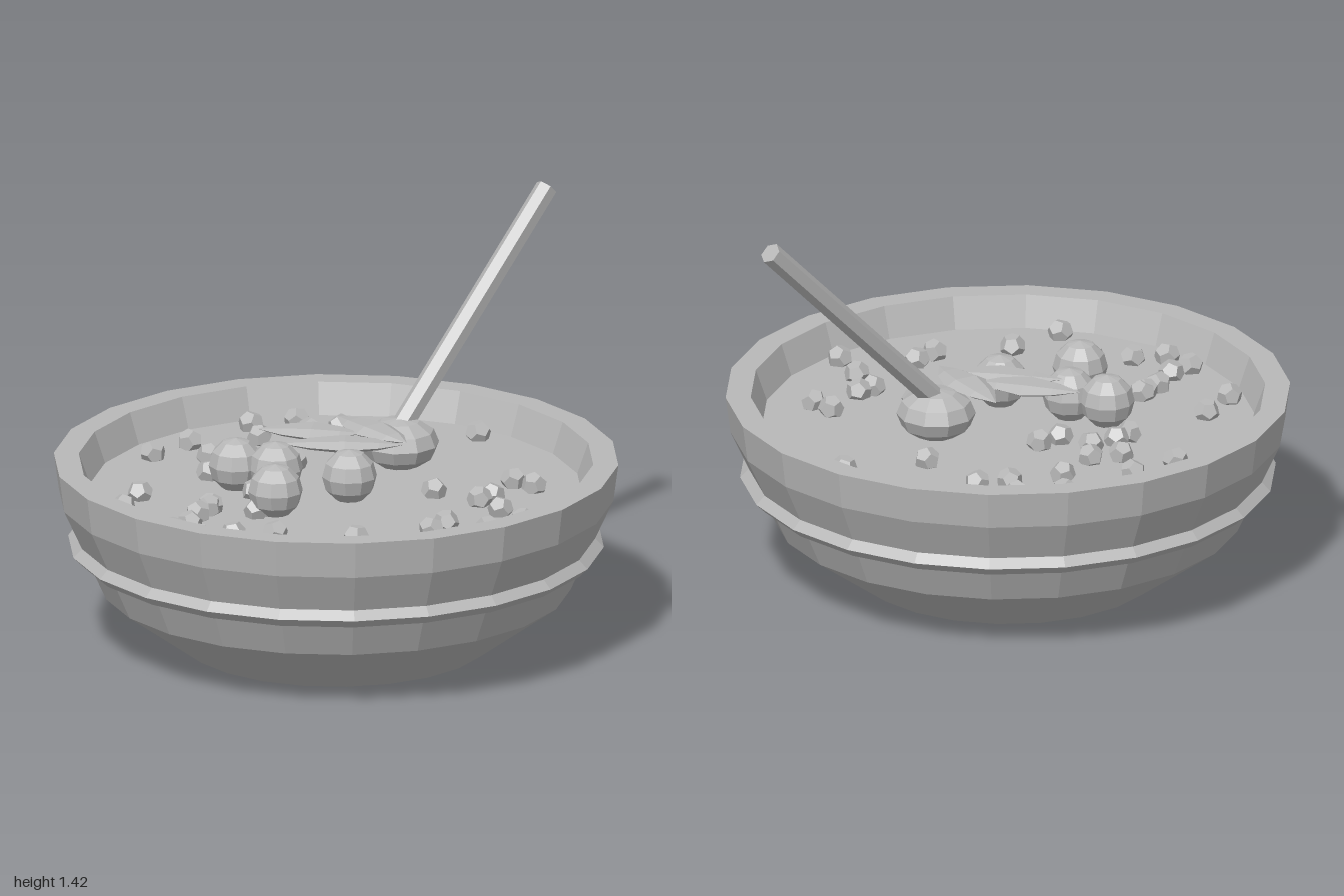
import * as THREE from 'three';

const SIDES = 22;
const BOWL_X = -0.04;

export function createModel() {
  const group = new THREE.Group();
  const clay = new THREE.MeshStandardMaterial({ color: 0xb8b8b8 });
  clay.name = 'plain grey';
  clay.flatShading = true;

  const add = (name, geometry, x = 0, y = 0, z = 0) => {
    const mesh = new THREE.Mesh(geometry, clay);
    mesh.name = name;
    mesh.position.set(x, y, z);
    group.add(mesh);
    return mesh;
  };
  const lathe = (pts, sides, start = 0) =>
    new THREE.LatheGeometry(pts.map(([r, y]) => new THREE.Vector2(r, y)), sides, start);

  // Bowl: base, flared wall, flat rim and inner wall
  add('bowl', lathe([
    [0, 0], [0.52, 0], [0.797, 0.2], [0.943, 0.52], [0.96, 0.647],
    [0.875, 0.647], [0.83, 0.52],
  ], SIDES, Math.PI / 2), BOWL_X);

  // Diamond-section band around the outside
  const band = new THREE.TorusGeometry(0.88, 0.031, 4, SIDES);
  band.rotateX(Math.PI / 2);
  add('band', band, BOWL_X, 0.355);

  // Soup surface
  const soup = new THREE.CircleGeometry(0.838, SIDES);
  soup.rotateX(-Math.PI / 2);
  add('soup', soup, BOWL_X, 0.54);

  // Small floating peas, each turned differently
  const peas = [
    [-.24, -.68], [-.06, -.68], [.23, -.68], [.37, -.60], [.14, -.55], [.32, -.49], [.42, -.44],
    [-.13, -.52], [-.03, -.48], [-.26, -.39], [-.20, -.40], [-.10, -.39], [-.59, -.39], [-.74, -.32],
    [-.06, -.27], [.03, -.27], [.43, -.17], [.70, -.06], [-.52, -.12], [-.54, -.11], [-.61, -.09],
    [-.80, -.02], [-.71, -.03], [-.79, .10], [-.69, .16], [-.58, .25], [-.63, .49], [-.42, .48],
    [.14, .29], [.41, .40], [.42, .49], [.18, .47], [.24, .47], [-.18, .60], [-.09, .58],
    [.15, .60], [-.04, .73], [.11, .75], [-.30, -.13], [-.31, -.05], [-.45, .03],
  ];
  const peaGeometry = new THREE.DodecahedronGeometry(0.045);
  peas.forEach(([x, z], i) => {
    add('pea', peaGeometry, x, 0.562, z).rotation.set(i * 1.3, i * 2.1, i * 0.7);
  });

  // Larger round dumplings
  const ballGeometry = new THREE.SphereGeometry(0.094, 10, 6);
  for (const [x, z] of [[-.28, -.24], [-.215, -.115], [-.395, .065], [-.10, .125]]) {
    add('dumpling', ballGeometry, x, 0.628, z);
  }

  // Leaves: thin pointed blades given by their two tips
  const leafGeometry = lathe([[0, -0.5], [0.65, -0.25], [1, 0.03], [0.62, 0.3], [0, 0.5]], 6, Math.PI / 2);
  const leaves = [
    [-.13, -.29, .085, 0, .085, .71],
    [.16, -.20, .11, .19, .078, .712],
    [-.175, -.145, .12, .17, .078, .70],
  ];
  for (const [x0, z0, x1, z1, width, y] of leaves) {
    const along = new THREE.Vector3(x1 - x0, 0, z1 - z0);
    const length = along.length();
    along.normalize();
    const up = new THREE.Vector3(0, 1, 0);
    const side = new THREE.Vector3().crossVectors(along, up);
    const leaf = add('leaf', leafGeometry, (x0 + x1) / 2, y, (z0 + z1) / 2);
    leaf.quaternion.setFromRotationMatrix(new THREE.Matrix4().makeBasis(side, along, up));
    leaf.scale.set(width, length, 0.024);
  }

  // Spoon: squashed scoop and a six-sided handle leaning to the side
  add('spoonScoop', new THREE.SphereGeometry(0.135, 10, 6), 0.265, 0.637, 0).scale.y = 0.66;
  const handle = new THREE.CylinderGeometry(0.038, 0.038, 1.015, 6);
  handle.rotateY(Math.PI / 2);
  add('spoonHandle', handle, 0.609, 1.031, 0).rotation.z = -Math.PI / 4;

  return group;
}
